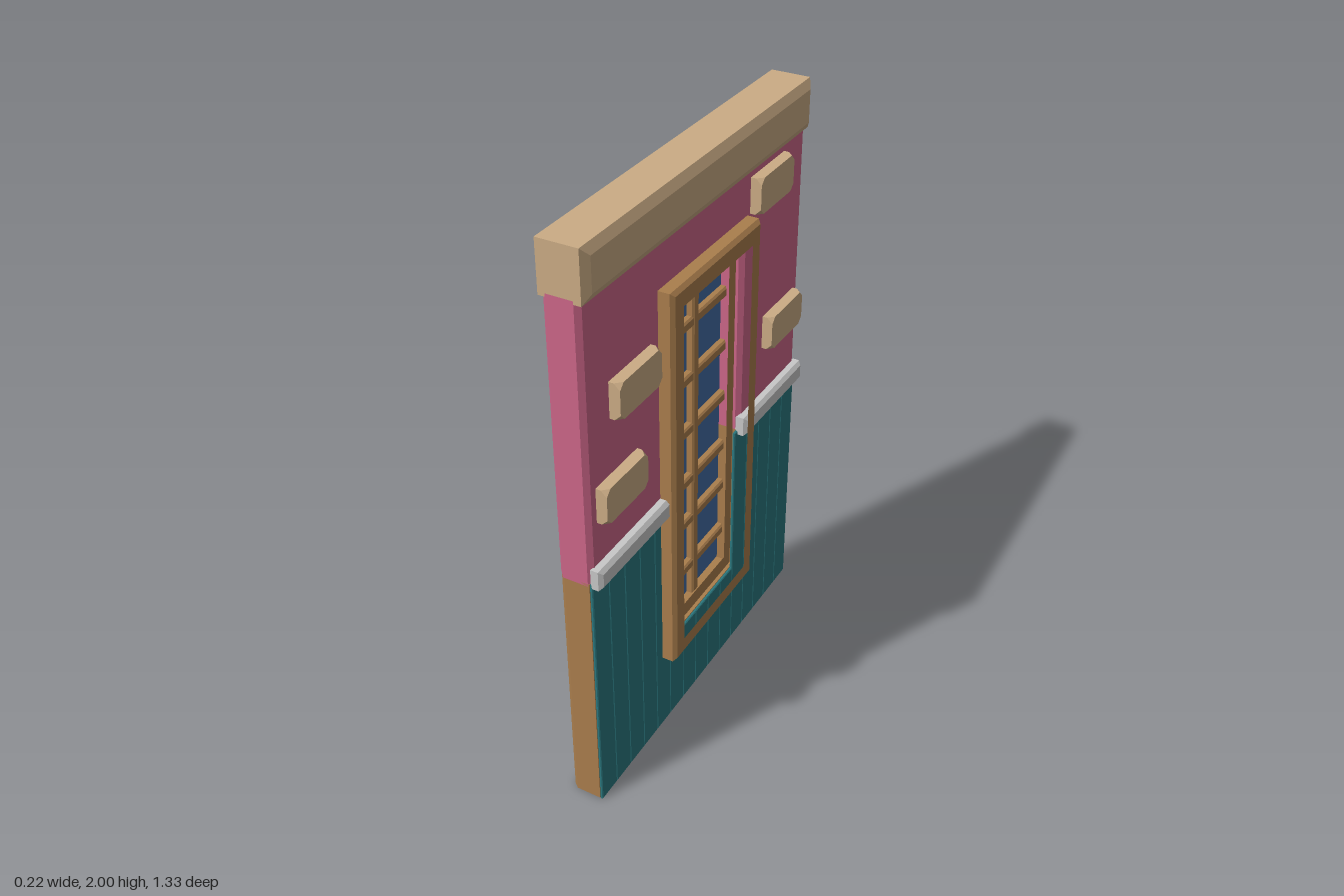
import * as THREE from 'three';
import { ConvexGeometry } from 'three/addons/geometries/ConvexGeometry.js';

const mat = (name, color) => {
  const m = new THREE.MeshStandardMaterial({ color });
  m.name = name;
  return m;
};

// Closed outline from [z, y] points (mirrored so that it extrudes toward +x)
const outline = (pts, Type = THREE.Shape) => new Type(pts.map(([z, y]) => new THREE.Vector2(-z, y)));
const rect = (z0, z1, y0, y1) => [[z0, y0], [z1, y0], [z1, y1], [z0, y1]];

// Slab in the z-y plane, spanning x0..x1, with chamfered edges
function slab(shape, x0, x1, bevel = 0, thick = bevel) {
  const g = new THREE.ExtrudeGeometry(shape, {
    depth: x1 - x0 - 2 * thick, bevelEnabled: bevel > 0, bevelSegments: 1,
    bevelSize: bevel, bevelOffset: -bevel, bevelThickness: thick,
  });
  return g.translate(0, 0, x0 + thick).rotateY(Math.PI / 2);
}

const block = (z0, z1, y0, y1, x0, x1, bevel, thick) => slab(outline(rect(z0, z1, y0, y1)), x0, x1, bevel, thick);

function ring(w, y0, y1, iw, iy0, iy1, x0, x1, bevel) {
  const s = outline(rect(-w, w, y0, y1));
  s.holes.push(outline(rect(-iw, iw, iy0, iy1), THREE.Path));
  return slab(s, x0, x1, bevel);
}

// Brick whose four outer corners are clipped off
function brick(z, y) {
  const pts = [], hz = 0.113, hy = 0.06, x0 = 0.045, x1 = 0.092, c = 0.02;
  for (const a of [-1, 1]) for (const b of [-1, 1]) {
    const add = (x, dz, dy) => pts.push(new THREE.Vector3(x, y + b * (hy - dy), z + a * (hz - dz)));
    add(x0, 0, 0);
    add(x1 - c, 0, 0);
    add(x1, c, 0);
    add(x1, 0, c);
  }
  return new ConvexGeometry(pts);
}

export function createModel() {
  const root = new THREE.Group();
  root.name = 'wallWithWindow';
  const pink = mat('pinkPlaster', 0xcc6689);
  const wood = mat('brownWood', 0xaa7e4d);
  const tan = mat('tanStone', 0xcbac85);
  const teal = mat('tealPlanks', 0x2b787f);
  const white = mat('paleTrim', 0xc8c8c8);
  const blue = mat('blueGlass', 0x426ca5);
  const add = (name, geometry, material) => {
    const m = new THREE.Mesh(geometry, material);
    m.name = name;
    root.add(m);
    return m;
  };
  const W = 0.665;

  // Plaster upper wall, notched around the window
  add('upperWall', slab(outline([
    [-W, 0.9], [-0.25, 0.9], [-0.25, 1.66], [0.25, 1.66], [0.25, 0.9], [W, 0.9], [W, 1.845], [-W, 1.845],
  ]), -0.062, 0.055, 0.015), pink);

  // Wooden lower wall: two columns with a chamfered rear corner, and the part under the window
  for (const s of [-1, 1]) {
    const plan = new THREE.Shape([[-0.06, 0.25], [0.045, 0.25], [0.045, W], [-0.042, W], [-0.06, W - 0.015]]
      .map(([x, z]) => new THREE.Vector2(x, -s * z)));
    const g = new THREE.ExtrudeGeometry(plan, { depth: 0.908, bevelEnabled: false });
    add('lowerWallSide', g.rotateX(-Math.PI / 2), wood);
  }
  add('lowerWallMiddle', block(-0.25, 0.25, 0, 0.33, -0.06, 0.045), wood);

  // Vertical planks, short under the window
  const n = 15, pw = 2 * W / n;
  for (let i = 0; i < n; i++) {
    const z = -W + i * pw;
    add('plank', block(z, z + pw, 0, i >= 5 && i <= 9 ? 0.33 : 0.91, 0.045, 0.056, 0.003), teal);
  }

  // Trim rail on both sides of the window
  for (const s of [-1, 1]) {
    const g = block(Math.min(s * 0.24, s * W), Math.max(s * 0.24, s * W), 0.897, 0.967, 0.04, 0.088, 0.012);
    add('trimRail', g, white);
  }

  // Scattered bricks
  for (const [z, y] of [[0.427, 1.48], [0.513, 1.175], [-0.403, 1.748], [-0.515, 1.21]])
    add('brick', brick(z, y), tan);

  // Cap along the top
  add('cap', block(-W, W, 1.835, 2, -0.085, 0.08, 0.028, 0.016), tan);

  // Window: casing, sash, glass and bars
  add('windowCasing', ring(0.272, 0.302, 1.69, 0.226, 0.352, 1.638, -0.11, 0.106, 0.012), wood);
  add('windowSash', ring(0.23, 0.345, 1.645, 0.187, 0.398, 1.6, -0.048, 0.045, 0.008), wood);
  add('glass', block(-0.2, 0.2, 0.38, 1.62, -0.005, 0.005), blue);
  add('verticalBar', block(-0.018, 0.018, 0.38, 1.62, -0.03, 0.03, 0.006), wood);
  for (const y of [0.515, 0.708, 0.872, 1.068, 1.26, 1.454])
    add('horizontalBar', block(-0.2, 0.2, y - 0.018, y + 0.018, -0.028, 0.028, 0.006), wood);

  return root;
}
